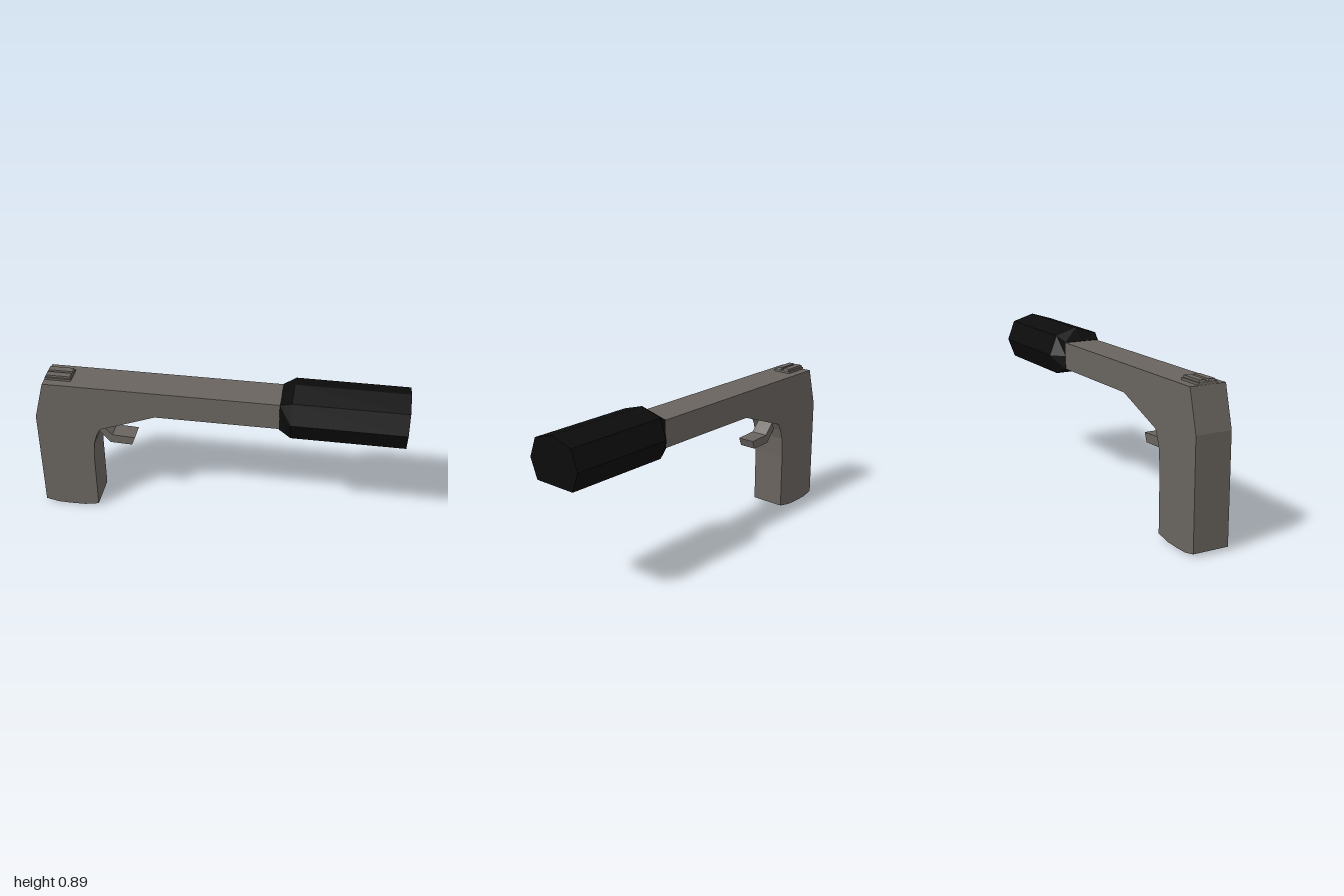
import * as THREE from 'three';

const bodyGrey = new THREE.MeshStandardMaterial({ color: 0x69645f });
bodyGrey.name = 'bodyGrey';
const barrelBlack = new THREE.MeshStandardMaterial({ color: 0x0c0c0c });
barrelBlack.name = 'barrelBlack';

// Side outline (x, y) extruded evenly about z
function slab(name, points, width, z = 0) {
  const shape = new THREE.Shape(points.map(([x, y]) => new THREE.Vector2(x, y)));
  const geo = new THREE.ExtrudeGeometry(shape, { depth: width, bevelEnabled: false });
  geo.translate(0, 0, z - width / 2);
  const mesh = new THREE.Mesh(geo, bodyGrey);
  mesh.name = name;
  return mesh;
}

// Closed flat-shaded loft along x; sections are (z, y) loops
function loft(rings) {
  const pos = [];
  const n = rings[0].loop.length;
  const at = (r, j) => [rings[r].x, rings[r].loop[j % n][1], rings[r].loop[j % n][0]];
  const last = rings.length - 1;
  for (let r = 0; r < last; r++) {
    for (let j = 0; j < n; j++) {
      const a = at(r, j), b = at(r, j + 1), c = at(r + 1, j + 1), d = at(r + 1, j);
      pos.push(...a, ...b, ...c, ...a, ...c, ...d);
    }
  }
  for (let j = 1; j < n - 1; j++) {
    pos.push(...at(last, 0), ...at(last, j), ...at(last, j + 1));
    pos.push(...at(0, 0), ...at(0, j + 1), ...at(0, j));
  }
  const geo = new THREE.BufferGeometry();
  geo.setAttribute('position', new THREE.Float32BufferAttribute(pos, 3));
  geo.computeVertexNormals();
  return geo;
}

// Half section from the top point down, mirrored to a full loop
const mirrored = (top, side) => [top, ...side, ...side.slice().reverse().map(([z, y]) => [-z, y])]
  .filter((p, i, all) => all.findIndex(q => q[0] === p[0] && q[1] === p[1]) === i);

export function createModel() {
  const model = new THREE.Group();
  model.name = 'model';

  // Grip and long receiver in one outline
  model.add(slab('gripAndReceiver', [
    [-1, 0.018], [-0.93, 0.002], [-0.85, 0], [-0.77, 0.002], [-0.69, 0.018],
    [-0.69, 0.33], [-0.683, 0.45], [-0.665, 0.51], [-0.645, 0.55],
    [-0.335, 0.667], [0.34, 0.667], [0.34, 0.818], [-0.943, 0.818], [-1, 0.6],
  ], 0.2));

  // Bent trigger
  model.add(slab('trigger', [
    [-0.67, 0.515], [-0.605, 0.435], [-0.482, 0.431], [-0.463, 0.48],
    [-0.59, 0.486], [-0.65, 0.55],
  ], 0.1));

  // Rear sight: low base with two raised ridges
  const sight = new THREE.Group();
  sight.name = 'rearSight';
  sight.add(slab('sightBase', [[-0.942, 0.81], [-0.797, 0.81], [-0.797, 0.83], [-0.94, 0.83]], 0.106));
  for (const z of [-0.026, 0.026]) {
    sight.add(slab('sightRidge', [[-0.94, 0.82], [-0.797, 0.82], [-0.803, 0.842], [-0.934, 0.842]], 0.036, z));
  }
  model.add(sight);

  // Seven-sided muzzle sleeve, tapering back to the receiver
  const full = mirrored([0, 0.888], [[0.125, 0.85], [0.167, 0.741], [0.125, 0.633]]);
  const neck = mirrored([0, 0.82], [[0.101, 0.82], [0.101, 0.741], [0.101, 0.664]]);
  const sleeve = new THREE.Mesh(loft([
    { x: 0.333, loop: neck }, { x: 0.398, loop: full }, { x: 1, loop: full },
  ]), barrelBlack);
  sleeve.name = 'muzzleSleeve';
  model.add(sleeve);

  return model;
}
